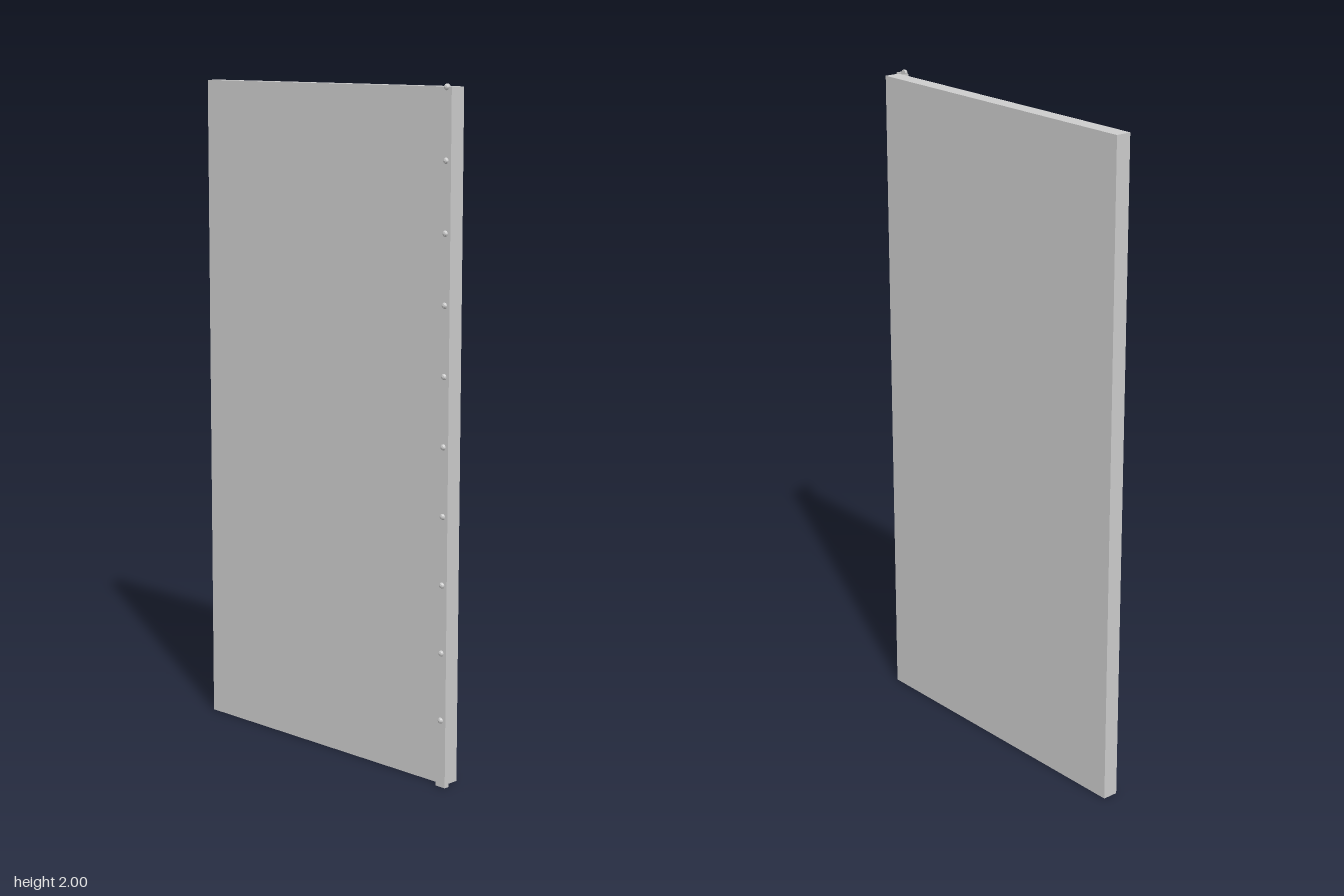
import * as THREE from 'three';

const H = 1.99;

// Rectangular sleeve, open at both ends, standing from y = 0
function sleeve(x0, x1, z0, z1, height) {
  const corners = [[x0, z0], [x0, z1], [x1, z1], [x1, z0]];
  const pos = [];
  corners.forEach(([ax, az], i) => {
    const [bx, bz] = corners[(i + 1) % 4];
    pos.push(ax, 0, az, bx, 0, bz, bx, height, bz);
    pos.push(ax, 0, az, bx, height, bz, ax, height, az);
  });
  const g = new THREE.BufferGeometry();
  g.setAttribute('position', new THREE.Float32BufferAttribute(pos, 3));
  g.computeVertexNormals();
  return g;
}

export function createModel() {
  const group = new THREE.Group();
  const grey = new THREE.MeshStandardMaterial({ color: 0xcccccc });
  const thin = new THREE.MeshStandardMaterial({ color: 0xcccccc, side: THREE.DoubleSide });

  // Door leaf
  const panel = new THREE.Mesh(new THREE.BoxGeometry(0.992, H, 0.048), grey);
  panel.name = 'doorPanel';
  panel.position.set(-0.009, H / 2, -0.016);
  group.add(panel);

  // Hollow cover strip along the closing edge
  const strip = new THREE.Mesh(sleeve(0.47, 0.505, 0.014, 0.031, H), thin);
  strip.name = 'edgeStrip';
  group.add(strip);

  // Row of domed rivets on the strip
  const profile = [[0, 0], [0.009, 0], [0.009, 0.006], [0.006, 0.011], [0, 0.013]]
    .map(([r, y]) => new THREE.Vector2(r, y));
  const rivetGeometry = new THREE.LatheGeometry(profile, 12).rotateX(Math.PI / 2);
  const rivetMaterial = new THREE.MeshStandardMaterial({ color: 0xcccccc, flatShading: true });
  const rivets = new THREE.Group();
  rivets.name = 'rivets';
  for (let i = 1; i <= 10; i++) {
    const rivet = new THREE.Mesh(rivetGeometry, rivetMaterial);
    rivet.name = 'rivet';
    rivet.position.set(0.487, i * 0.199, 0.026);
    rivets.add(rivet);
  }
  group.add(rivets);
  return group;
}
